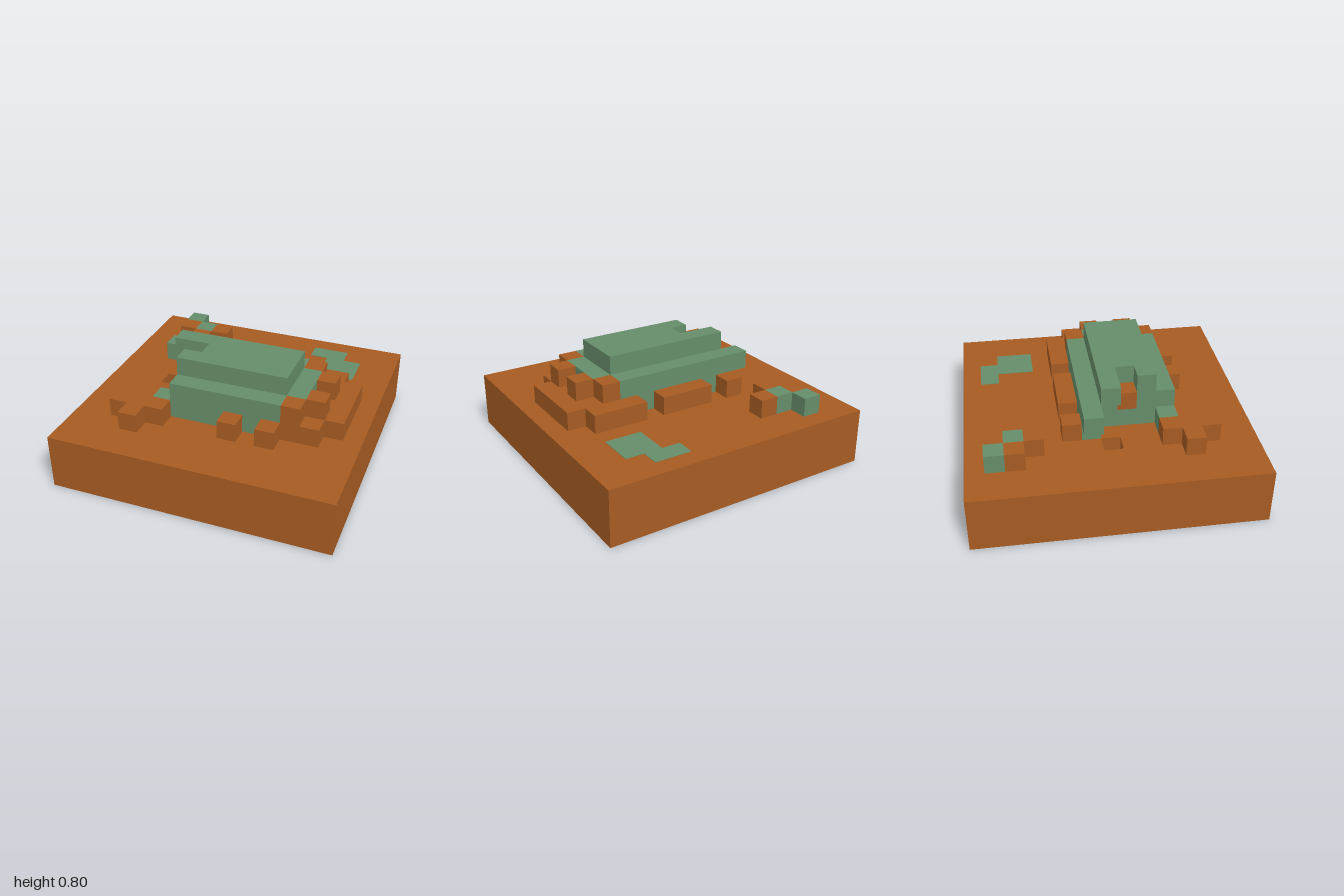
import * as THREE from 'three';

// Block grid: 15 x 15 cells over a 2-unit square
const CELL = 2 / 15;
const at = (i) => -1 + i * CELL;

export function createModel() {
  const model = new THREE.Group();
  const earth = new THREE.MeshStandardMaterial({ color: 0xa65b22 });
  earth.name = 'earthBrown';
  const moss = new THREE.MeshStandardMaterial({ color: 0x668d6a });
  moss.name = 'mossGreen';

  // Each run is [x0, x1, z0, z1] in cell edges
  function addRuns(name, material, y, height, runs) {
    const group = new THREE.Group();
    group.name = name;
    for (const [x0, x1, z0, z1] of runs) {
      const geo = new THREE.BoxGeometry((x1 - x0) * CELL, height, (z1 - z0) * CELL);
      const mesh = new THREE.Mesh(geo, material);
      mesh.name = name + 'Block';
      mesh.position.set((at(x0) + at(x1)) / 2, y + height / 2, (at(z0) + at(z1)) / 2);
      group.add(mesh);
    }
    model.add(group);
  }

  // Ground slab, its top layer leaving a one-cell pit
  addRuns('groundSlab', earth, 0, 2 * CELL, [[0, 15, 0, 15]]);
  addRuns('groundTop', earth, 2 * CELL, CELL, [
    [0, 15, 0, 7], [0, 3, 7, 8], [4, 15, 7, 8], [0, 15, 8, 15],
  ]);

  // Flat moss patch on the ground
  addRuns('mossPatch', moss, 3 * CELL, 0.003, [[10, 12, 1, 2], [11, 13, 2, 4]]);

  // Lower terrace
  addRuns('lowerMoss', moss, 3 * CELL, CELL, [
    [4, 11, 6, 7], [5, 11, 7, 10], [4, 11, 10, 11],
  ]);
  addRuns('lowerEarth', earth, 3 * CELL, CELL, [
    [11, 14, 6, 10], [11, 13, 10, 11],
    [4, 5, 5, 6], [6, 9, 5, 6], [10, 13, 5, 6],
    [8, 9, 11, 12], [10, 11, 11, 12],
    [3, 4, 10, 11], [2, 5, 11, 12], [3, 4, 12, 13],
  ]);

  // Separate small outcrop in the back corner
  addRuns('outcropMoss', moss, 3 * CELL, CELL, [[2, 3, 1, 2], [3, 4, 2, 3]]);
  addRuns('outcropEarth', earth, 3 * CELL, CELL, [[2, 3, 2, 3], [4, 5, 2, 3], [3, 4, 3, 4]]);

  // Middle terrace
  addRuns('middleMoss', moss, 4 * CELL, CELL, [
    [3, 11, 6, 7], [5, 12, 7, 8], [6, 12, 8, 9], [5, 12, 9, 10], [5, 11, 10, 11],
  ]);
  addRuns('middleEarth', earth, 4 * CELL, CELL, [
    [11, 12, 6, 7], [12, 13, 7, 8], [12, 13, 9, 10], [11, 12, 10, 11], [5, 6, 8, 9],
  ]);

  // Notched top terrace
  addRuns('topMoss', moss, 5 * CELL, CELL, [[4, 11, 7, 8], [6, 11, 8, 9], [5, 11, 9, 10]]);

  return model;
}
